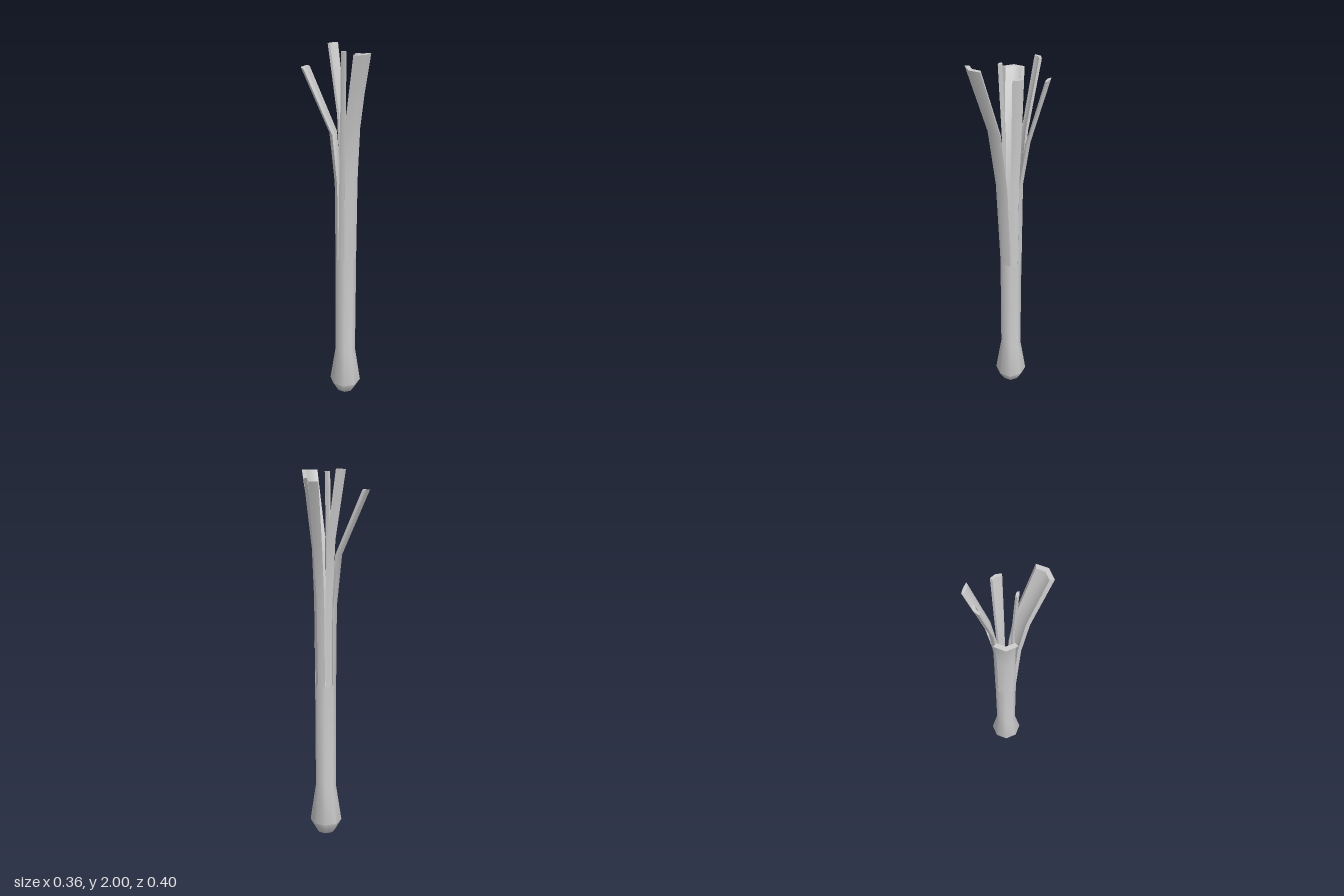
import * as THREE from 'three';
import { toCreasedNormals } from 'three/addons/utils/BufferGeometryUtils.js';

const material = new THREE.MeshStandardMaterial({ color: 0xcccccc });
const CREASE = 0.9;

// Each leaf: facing angle in degrees (0 = +x, 90 = +z), then rows of
// [height, ridge x, ridge z, half width, fold depth, thickness] around the stalk axis.
const leaves = {
  broadRightLeaf: [180, [
    [0.86, -0.057, 0, 0.04, 0.017, 0.018], [1.3, -0.061, 0, 0.044, 0.018, 0.018],
    [1.57, -0.088, 0, 0.049, 0.021, 0.02], [1.9, -0.23, 0, 0.054, 0.023, 0.023]]],
  broadFrontLeaf: [45, [
    [0.86, 0.04, 0.04, 0.04, 0.017, 0.018], [1.35, 0.043, 0.06, 0.043, 0.018, 0.018],
    [1.65, 0.053, 0.095, 0.048, 0.021, 0.02], [2, 0.105, 0.187, 0.055, 0.023, 0.023]]],
  backLeaf: [-67.5, [
    [0.86, 0.021, -0.05, 0.021, 0.003, 0.014], [1.35, 0.025, -0.054, 0.022, 0.003, 0.014],
    [1.6, 0.035, -0.088, 0.025, 0.003, 0.014], [1.94, 0.051, -0.178, 0.0285, 0.003, 0.015]]],
  backRightLeaf: [-122, [
    [0.86, -0.021, -0.05, 0.021, 0.004, 0.014], [1.35, -0.025, -0.053, 0.022, 0.005, 0.014],
    [1.65, -0.038, -0.075, 0.025, 0.008, 0.014], [2, -0.09, -0.133, 0.029, 0.011, 0.015]]],
  leftLeaf: [-22.5, [
    [0.86, 0.05, -0.021, 0.02, 0.003, 0.014], [1.35, 0.055, -0.024, 0.022, 0.004, 0.014],
    [1.6, 0.065, -0.03, 0.025, 0.006, 0.014], [1.955, 0.105, -0.04, 0.0285, 0.008, 0.015]]],
  narrowFrontLeaf: [112.5, [
    [0.86, -0.021, 0.05, 0.018, 0.003, 0.014], [1.35, -0.019, 0.045, 0.016, 0.003, 0.014],
    [1.6, -0.017, 0.042, 0.015, 0.003, 0.014], [1.99, -0.012, 0.06, 0.015, 0.004, 0.015]]],
};

// Solid leaf with a shallow folded cross-section, swept through its rows
function leafGeometry(degrees, rows) {
  const a = THREE.MathUtils.degToRad(degrees);
  const c = Math.cos(a), s = Math.sin(a);
  const positions = [], index = [];
  for (const [y, x, z, half, fold, thick] of rows) {
    const section = [
      [-half, -fold], [0, 0], [half, -fold],
      [half * 0.72, -fold - thick * 0.7], [0, -thick], [-half * 0.72, -fold - thick * 0.7],
    ];
    for (const [side, out] of section) {
      positions.push(x + c * out - s * side, y, z + s * out + c * side);
    }
  }
  for (let i = 0; i < rows.length - 1; i++) {
    for (let j = 0; j < 6; j++) {
      const p = i * 6 + j, q = i * 6 + (j + 1) % 6;
      index.push(p, p + 6, q, q, p + 6, q + 6);
    }
  }
  // End caps
  const n = (rows.length - 1) * 6;
  for (const [p, q, r] of [[0, 5, 4], [0, 4, 1], [1, 4, 3], [1, 3, 2]]) {
    index.push(n + p, n + q, n + r, p, r, q);
  }
  const geometry = new THREE.BufferGeometry();
  geometry.setAttribute('position', new THREE.Float32BufferAttribute(positions, 3));
  geometry.setIndex(index);
  return toCreasedNormals(geometry, CREASE);
}

export function createModel() {
  const model = new THREE.Group();
  model.name = 'leek';
  const plant = new THREE.Group();
  plant.name = 'plant';
  plant.position.set(0.05, 0, -0.012);
  model.add(plant);

  // Eight-sided bulb and stalk, closed by a shallow dish between the leaves
  const profile = [
    [0, 0], [0.05, 0.015], [0.087, 0.08], [0.056, 0.29], [0.057, 0.875], [0.038, 0.875], [0, 0.85],
  ].map(([r, y]) => new THREE.Vector2(r, y));
  const stalk = new THREE.Mesh(
    toCreasedNormals(new THREE.LatheGeometry(profile, 8), CREASE), material);
  stalk.name = 'stalk';
  plant.add(stalk);

  // Leaves splitting from the stalk
  for (const [name, [degrees, rows]] of Object.entries(leaves)) {
    const leaf = new THREE.Mesh(leafGeometry(degrees, rows), material);
    leaf.name = name;
    plant.add(leaf);
  }
  return model;
}
